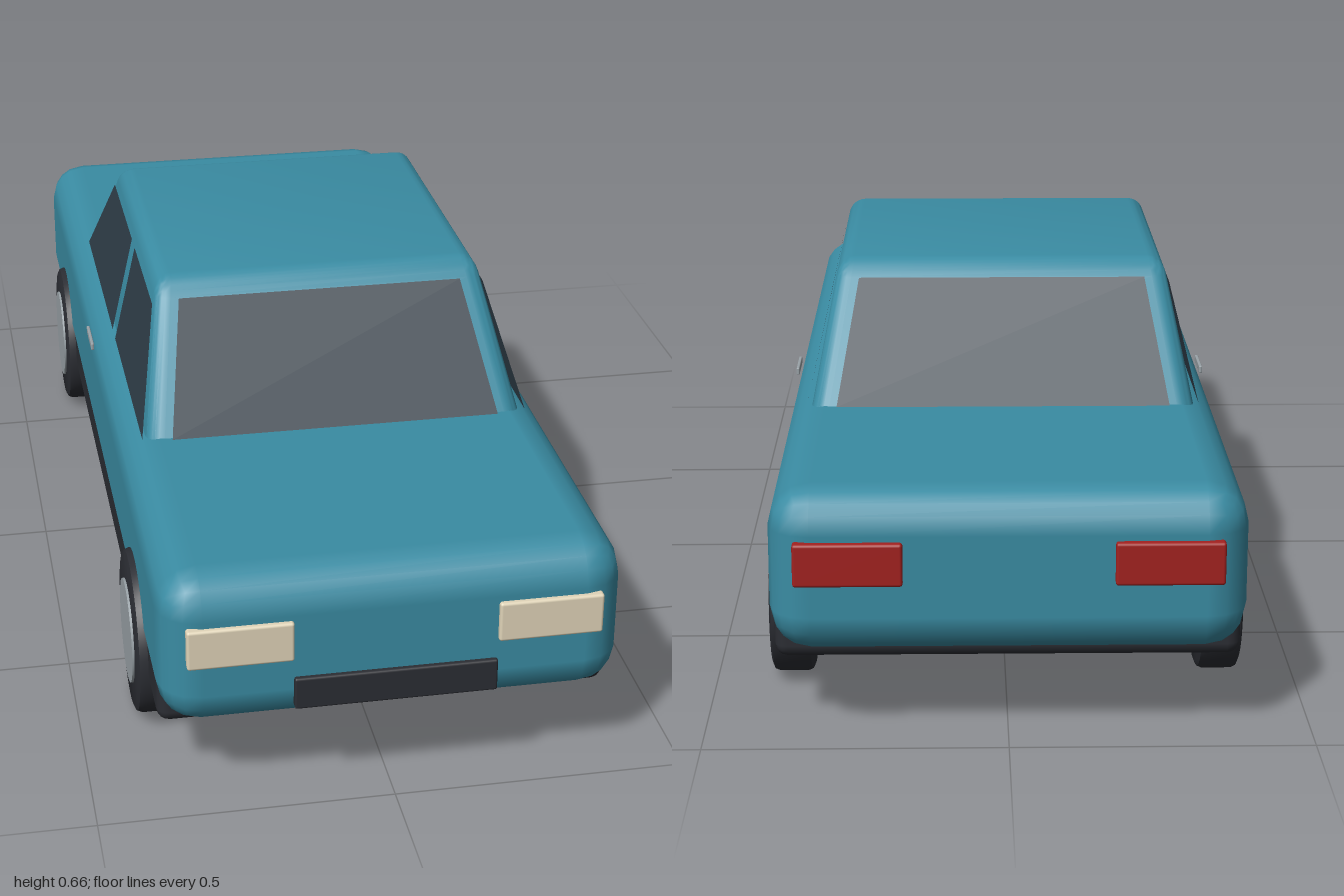
import * as THREE from 'three';
import { mergeVertices, toCreasedNormals } from 'three/addons/utils/BufferGeometryUtils.js';
import { RoundedBoxGeometry } from 'three/addons/geometries/RoundedBoxGeometry.js';

const mat = (color, side = THREE.FrontSide) => new THREE.MeshStandardMaterial({ color, side });
const paint = mat(0x3a8ca3);
const dark = mat(0x2b2d33);
const glass = mat(0x2f3d48, THREE.DoubleSide);
const metal = mat(0x9aa3a8);
const lampCream = mat(0xe0d4b8);
const lampRed = mat(0xa3211f);

function add(parent, name, geometry, material, x = 0, y = 0, z = 0) {
  const mesh = new THREE.Mesh(geometry, material);
  mesh.name = name;
  mesh.position.set(x, y, z);
  parent.add(mesh);
  return mesh;
}

const rounded = (w, h, d, r, seg = 2) => new RoundedBoxGeometry(w, h, d, seg, r);

// Thin pane from four corners, given in order around its edge
function pane(corners) {
  const g = new THREE.BufferGeometry();
  g.setAttribute('position', new THREE.Float32BufferAttribute(corners.flat(), 3));
  g.setIndex([0, 1, 2, 0, 2, 3]);
  g.computeVertexNormals();
  return g;
}

// Rounded box narrowing towards the roof, with raked front and back
function cabinGeometry() {
  const bottom = 0.38, top = 0.66, belt = 0.43;
  const g = rounded(0.66, top - bottom, 0.8, 0.03, 3);
  g.translate(0, (top + bottom) / 2, 0);
  const p = g.attributes.position;
  for (let i = 0; i < p.count; i++) {
    const t = (p.getY(i) - belt) / (top - belt);
    const half = THREE.MathUtils.lerp(0.341, 0.296, t);
    const front = THREE.MathUtils.lerp(0.468, 0.28, t);
    const back = THREE.MathUtils.lerp(-0.48, -0.3, t);
    p.setX(i, (p.getX(i) / 0.33) * half);
    p.setZ(i, THREE.MathUtils.lerp(back, front, p.getZ(i) / 0.8 + 0.5));
  }
  g.deleteAttribute('normal');
  g.deleteAttribute('uv');
  return toCreasedNormals(mergeVertices(g), 0.5);
}

// Tyre cross-section spun about the axle, with softened shoulders
function tyreGeometry() {
  const w = 0.036, r = 0.145, b = 0.012;
  const profile = [
    [0, -w], [r - b, -w], [r - b * 0.3, -w + b * 0.3], [r, -w + b],
    [r, w - b], [r - b * 0.3, w - b * 0.3], [r - b, w], [0, w],
  ].map(([x, y]) => new THREE.Vector2(x, y));
  return toCreasedNormals(new THREE.LatheGeometry(profile, 40), 0.6).rotateZ(-Math.PI / 2);
}

export function createModel() {
  const car = new THREE.Group();
  car.name = 'car';

  // Body, underside and cabin
  add(car, 'body', rounded(0.778, 0.278, 1.976, 0.07), paint, 0, 0.291, 0);
  add(car, 'chassis', rounded(0.77, 0.1, 1.8, 0.022), dark, 0, 0.168, 0);
  add(car, 'cabin', cabinGeometry(), paint);

  // Windscreen and rear window
  add(car, 'windscreen', pane([
    [-0.297, 0.43, 0.475], [0.297, 0.43, 0.475], [0.26, 0.63, 0.311], [-0.26, 0.63, 0.311],
  ]), glass);
  add(car, 'rearWindow', pane([
    [0.297, 0.43, -0.486], [-0.297, 0.43, -0.486], [-0.26, 0.63, -0.33], [0.26, 0.63, -0.33],
  ]), glass);

  // Parts mirrored left and right
  const tyre = tyreGeometry();
  const hub = new THREE.CylinderGeometry(0.092, 0.092, 0.02, 40).rotateZ(Math.PI / 2);
  const lamp = rounded(0.176, 0.072, 0.03, 0.005);
  for (const s of [1, -1]) {
    const side = s > 0 ? 'left' : 'right';
    const low = (z) => [s * 0.35, 0.43, z];
    const high = (z) => [s * 0.307, 0.617, z];
    add(car, side + 'FrontWindow', pane([low(0.028), low(0.465), high(0.297), high(0.028)]), glass);
    add(car, side + 'BackWindow', pane([low(-0.472), low(-0.016), high(-0.016), high(-0.312)]), glass);
    add(car, side + 'DoorHandle', rounded(0.006, 0.014, 0.088, 0.002), metal, s * 0.39, 0.393, -0.064);
    add(car, side + 'Headlight', lamp, lampCream, s * 0.258, 0.315, 0.982);
    add(car, side + 'TailLight', lamp, lampRed, s * 0.258, 0.315, -0.985);

    for (const [end, z] of [['Front', 0.638], ['Back', -0.638]]) {
      const wheel = new THREE.Group();
      wheel.name = side + end + 'Wheel';
      wheel.position.set(s * 0.367, 0.147, z);
      add(wheel, 'tyre', tyre, dark);
      add(wheel, 'hub', hub, metal, s * 0.03, 0, 0);
      car.add(wheel);
    }
  }

  // Grille
  add(car, 'grille', rounded(0.34, 0.058, 0.04, 0.004), dark, 0, 0.216, 0.977);

  return car;
}
